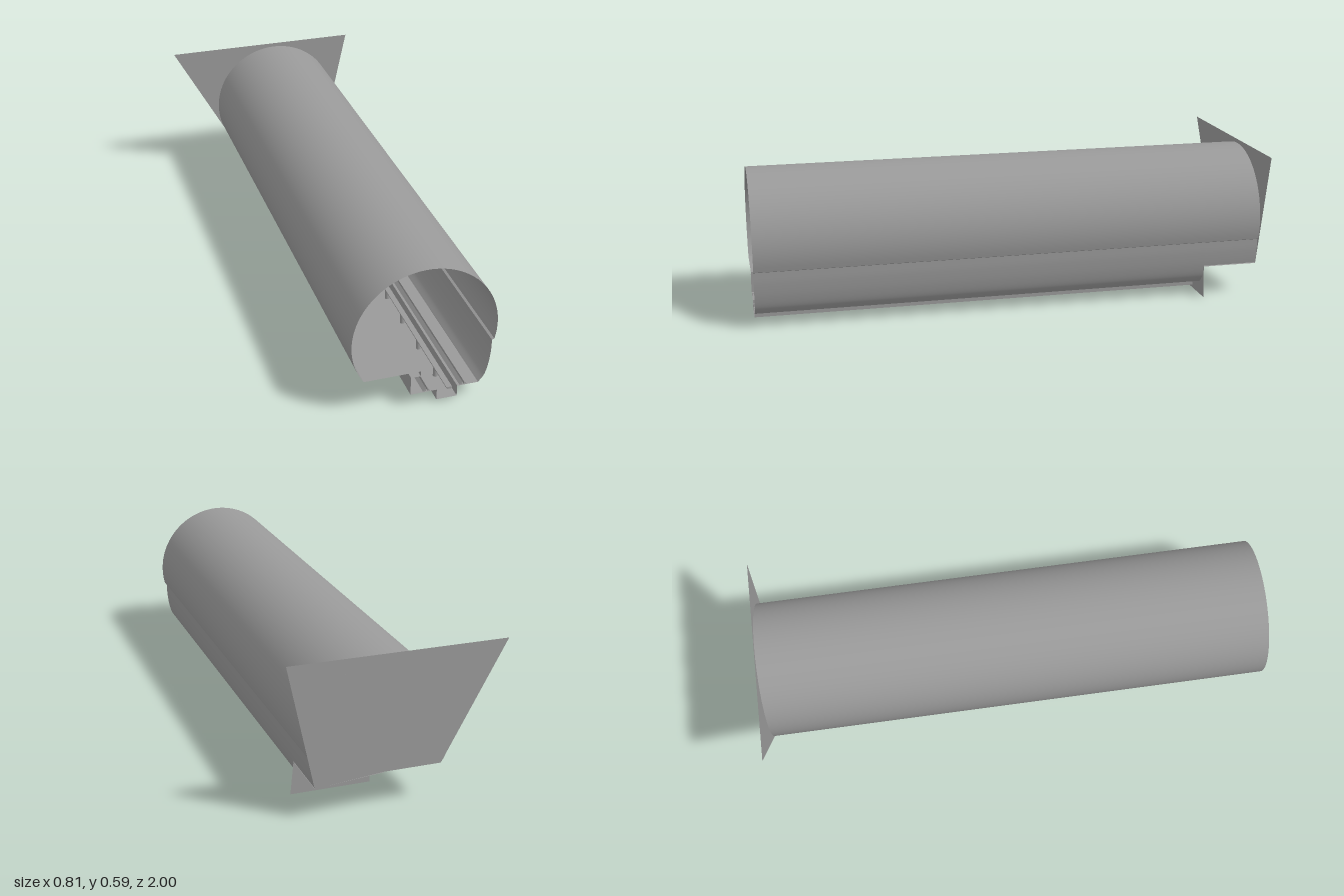
import * as THREE from 'three';

const FRONT = 1, BACK = -1, PIT_END = -0.78;

export function createModel() {
  const model = new THREE.Group();
  const mat = new THREE.MeshStandardMaterial({ color: 0x999999, side: THREE.DoubleSide });
  const flat = mat.clone();
  flat.flatShading = true;

  const add = (name, geo, m = flat) => {
    const mesh = new THREE.Mesh(geo, m);
    mesh.name = name;
    model.add(mesh);
    return mesh;
  };

  // Open sheet: an [x, y] profile swept along z
  const sheet = (profile, z0, z1) => {
    const pos = [], idx = [];
    profile.forEach(([x, y], i) => {
      pos.push(x, y, z0, x, y, z1);
      if (i) {
        const a = 2 * (i - 1);
        idx.push(a, a + 2, a + 1, a + 1, a + 2, a + 3);
      }
    });
    const g = new THREE.BufferGeometry();
    g.setAttribute('position', new THREE.Float32BufferAttribute(pos, 3));
    g.setIndex(idx);
    g.computeVertexNormals();
    return g;
  };

  const outline = (pts) => new THREE.Shape(pts.map(([x, y]) => new THREE.Vector2(x, y)));

  // Flat wall facing along z
  const wall = (pts, z) => new THREE.ShapeGeometry(outline(pts)).translate(0, 0, z);

  // Solid bar with a constant section, ending at the pit wall
  const bar = (pts) => new THREE.ExtrudeGeometry(outline(pts), {
    depth: FRONT - PIT_END, bevelEnabled: false,
  }).translate(0, 0, PIT_END);

  // Vault: circular arc from the platform edge over to the seam
  const cx = 0.06, cy = 0.3, r = 0.27;
  const start = Math.asin((0.234 - cy) / r), end = Math.PI - Math.asin((0.149 - cy) / r);
  const arc = [];
  for (let i = 0; i <= 56; i++) {
    const a = start + (end - start) * i / 56;
    arc.push([cx + r * Math.cos(a), cy + r * Math.sin(a)]);
  }
  add('vault', sheet(arc, FRONT, BACK), mat);
  // Narrow ledge under the vault, facing down
  add('vaultLedge', sheet([arc[0], [0.313, 0.23]], FRONT, BACK));

  // Lower side wall, cut short under the end of the tunnel
  const side = new THREE.SplineCurve([
    [0.313, 0.23], [0.312, 0.185], [0.305, 0.13], [0.292, 0.085], [0.27, 0.055],
  ].map(([x, y]) => new THREE.Vector2(x, y)));
  const sidePts = side.getPoints(36).map((p) => [p.x, p.y]);
  add('lowerSideWall', sheet(sidePts, FRONT, PIT_END), mat);
  add('lowerSideWallEnd', sheet(sidePts.filter((p) => p[1] >= 0.125), PIT_END, BACK), mat);

  // Platform, its overhanging lip and the stepped track bed
  add('platform', sheet([[-0.164, 0.149], [0.049, 0.149]], FRONT, BACK));
  add('trackBed', sheet([
    [0.049, 0.149], [0.049, 0.128], [0.012, 0.128], [0.012, 0.055], [0.112, 0.055],
    [0.112, 0.012], [0.19, 0.012], [0.19, 0.055], [0.27, 0.055],
  ], FRONT, PIT_END));
  add('endFloor', sheet([[0.049, 0.147], [0.304, 0.126]], PIT_END, BACK));

  // Walls closing the pit and the tunnel
  add('pitEndWall', wall([
    [0.012, 0], [0.316, 0], [0.304, 0.126], [0.049, 0.147], [0.049, 0.128], [0.012, 0.128],
  ], PIT_END));
  add('tunnelEndWall', wall([
    [-0.164, 0.149], [0.049, 0.149], [0.304, 0.126], [0.405, 0.586], [-0.405, 0.586],
  ], BACK));

  // Running rails: a pair of mirrored wedges each
  for (const x of [0.073, 0.212]) {
    for (const s of [-1, 1]) {
      add('railWedge', bar([[x + s * 0.014, 0.058], [x + s * 0.003, 0.058], [x + s * 0.003, 0.07]]));
    }
  }

  // Centre rail carried on a row of round posts
  add('centreRail', bar([
    [0.151, 0.049], [0.168, 0.049], [0.17, 0.053], [0.17, 0.057], [0.149, 0.057], [0.149, 0.053],
  ]));
  for (let i = 0; i < 9; i++) {
    add('railPost', new THREE.CylinderGeometry(0.009, 0.009, 0.044, 16), mat)
      .position.set(0.159, 0.028, 0.866 - i * 0.178);
  }
  return model;
}
